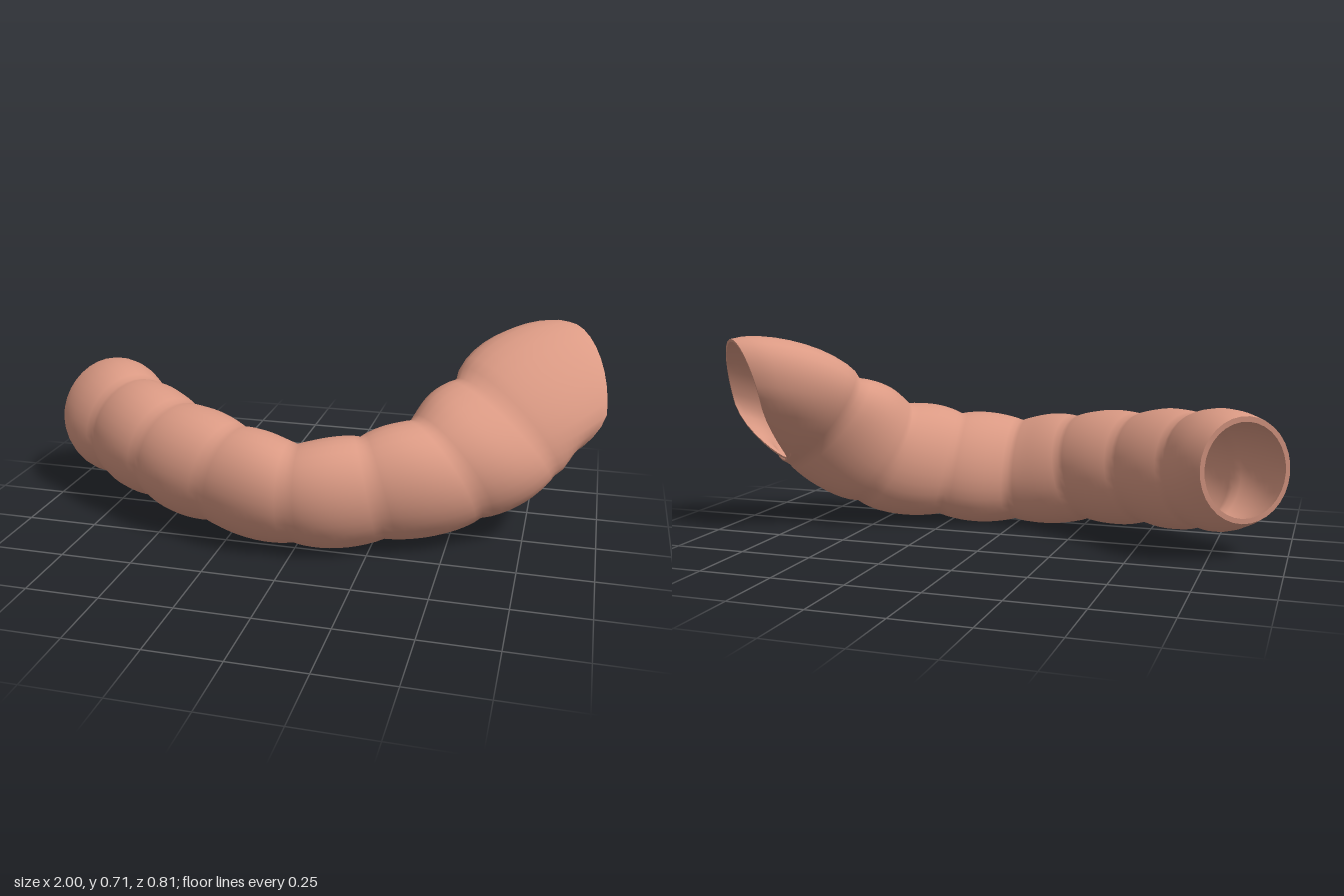
import * as THREE from 'three';

// Cross-sections at each groove, from the -x end to the +x end:
// centre, half-axis towards the outside of the bend, half-axis upwards
const SECTIONS = [
  [-0.87, 0.335, -0.17, -0.13, -0.02, 0.11, -0.01, 0.18, -0.035],
  [-0.71, 0.308, -0.045, -0.11, -0.01, 0.125, 0.015, 0.186, 0.01],
  [-0.5, 0.282, 0.09, -0.09, -0.015, 0.14, 0.02, 0.183, 0.03],
  [-0.26, 0.253, 0.19, -0.06, -0.02, 0.143, 0.03, 0.18, 0.04],
  [0, 0.224, 0.233, 0, -0.02, 0.148, 0, 0.18, 0.045],
  [0.25, 0.243, 0.165, 0.05, -0.015, 0.138, -0.03, 0.186, 0.045],
  [0.48, 0.292, 0.058, 0.115, -0.01, 0.122, -0.08, 0.18, 0.055],
  [0.66, 0.415, -0.07, 0.14, -0.03, 0.113, -0.115, 0.162, 0.03],
  [0.866, 0.503, -0.252, 0.13, -0.03, 0.13, 0.005, 0.225, -0.09],
];
const SEGMENTS = SECTIONS.length - 1;
const SIDES = 32;
const STEPS = 10;

const track = (k) => new THREE.CatmullRomCurve3(
  SECTIONS.map((s) => new THREE.Vector3(s[k], s[k + 1], s[k + 2])), false, 'catmullrom', 0.5);
const centre = track(0), across = track(3), upward = track(6);

// Swelling between grooves; the flared last segment swells mostly at its top and inside
function swell(t, angle) {
  let amount = 0.1;
  if (t < 1 / SEGMENTS) amount = 0.12;
  if (t > 1 - 1 / SEGMENTS) amount = 0.13 + 0.15 * Math.sin(angle) - 0.07 * Math.cos(angle);
  return 1 + amount * Math.pow(Math.abs(Math.sin(Math.PI * t * SEGMENTS)), 0.8);
}

// One ring of points; the last opening narrows to a tip swept back at the bottom
function ring(t, wall) {
  const c = centre.getPoint(t), u = across.getPoint(t), v = upward.getPoint(t);
  const end = THREE.MathUtils.smoothstep(t, 0.89, 1);
  const points = [];
  for (let j = 0; j < SIDES; j++) {
    const a = (j / SIDES) * Math.PI * 2;
    const low = Math.max(0, -Math.sin(a));
    const scale = wall * swell(t, a);
    const p = c.clone()
      .addScaledVector(u, Math.cos(a) * (1 - 0.35 * end * low) * scale)
      .addScaledVector(v, Math.sin(a) * scale);
    p.x -= 0.08 * end * low * low;
    p.z += 0.03 * end * low * low;
    points.push(p);
  }
  return points;
}

// Smooth skin through a list of rings
function loft(rings) {
  const positions = [], index = [];
  rings.forEach((r) => r.forEach((p) => positions.push(p.x, p.y, p.z)));
  for (let i = 0; i < rings.length - 1; i++) {
    for (let j = 0; j < SIDES; j++) {
      const k = (j + 1) % SIDES;
      const a = i * SIDES + j, b = (i + 1) * SIDES + j;
      const c = i * SIDES + k, d = (i + 1) * SIDES + k;
      index.push(a, b, c, b, d, c);
    }
  }
  const geometry = new THREE.BufferGeometry();
  geometry.setAttribute('position', new THREE.Float32BufferAttribute(positions, 3));
  geometry.setIndex(index);
  geometry.computeVertexNormals();
  return geometry;
}

export function createModel() {
  const group = new THREE.Group();
  group.name = 'segmentedTube';
  const flesh = new THREE.MeshStandardMaterial({ color: 0xdb9a84 });
  flesh.name = 'flesh pink';

  const add = (name, rings) => {
    const mesh = new THREE.Mesh(loft(rings), flesh);
    mesh.name = name;
    group.add(mesh);
  };

  const count = SEGMENTS * STEPS;
  const ts = Array.from({ length: count + 1 }, (_, i) => i / count);
  const innerScale = (t) => THREE.MathUtils.lerp(0.9, 0.96, t);

  // Lumpy outside wall
  add('outerWall', ts.map((t) => ring(t, 1)));
  // Inside wall, run backwards so that it faces inwards
  add('innerWall', [...ts].reverse().map((t) => ring(t, innerScale(t))));
  // Rims joining the two walls at the open ends
  add('narrowEndRim', [ring(0, innerScale(0)), ring(0, 1)]);
  add('flaredEndRim', [ring(1, 1), ring(1, innerScale(1))]);

  // Stand on the ground, centred
  const box = new THREE.Box3().setFromObject(group);
  const mid = box.getCenter(new THREE.Vector3());
  group.children.forEach((m) => m.geometry.translate(-mid.x, -box.min.y, -mid.z));
  return group;
}
